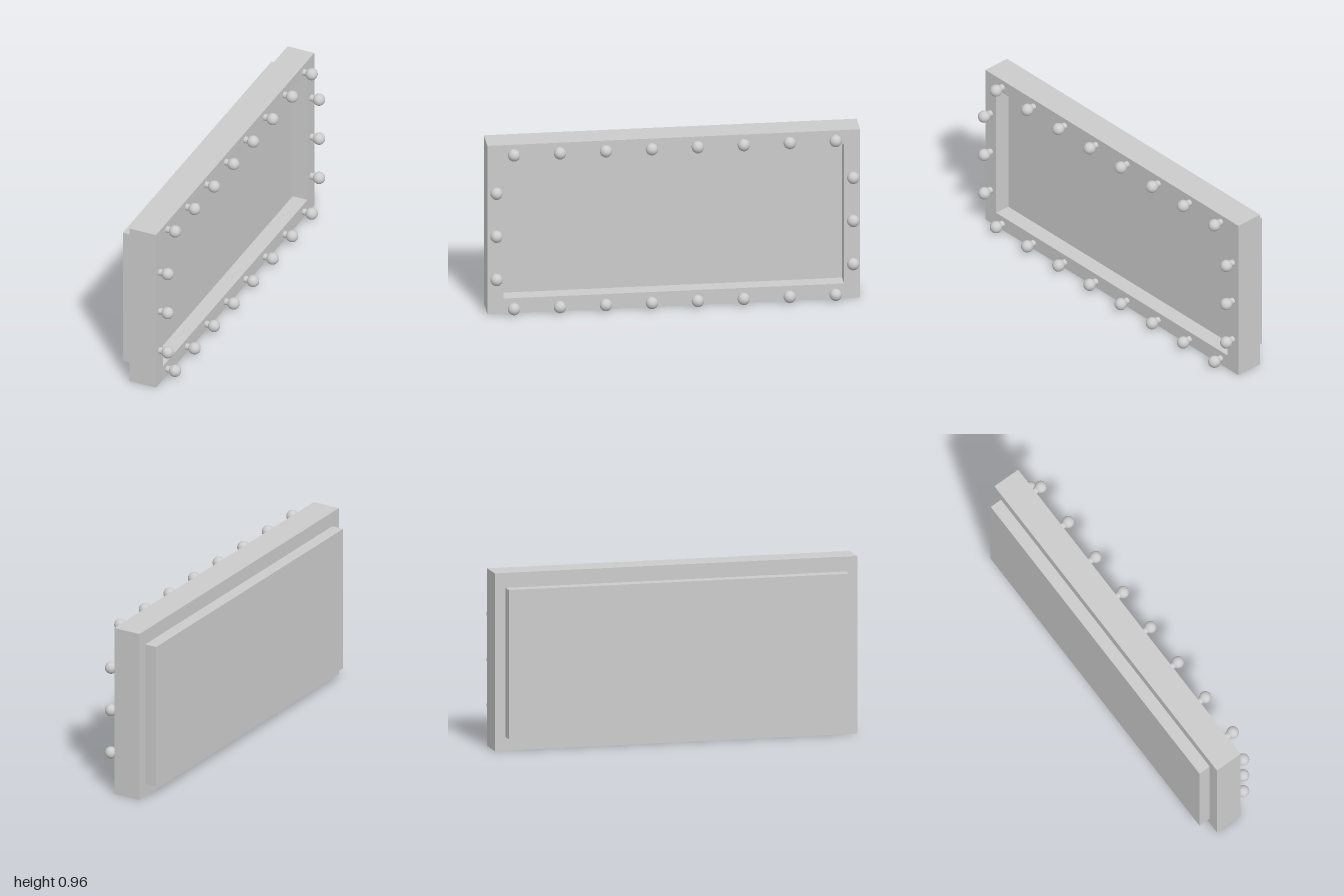
import * as THREE from 'three';

export function createModel() {
  const model = new THREE.Group();
  const material = new THREE.MeshStandardMaterial({ color: 0xcccccc });

  // Box given by its limits on each axis
  function addBox(name, [x0, x1], [y0, y1], [z0, z1]) {
    const mesh = new THREE.Mesh(new THREE.BoxGeometry(x1 - x0, y1 - y0, z1 - z0), material);
    mesh.position.set((x0 + x1) / 2, (y0 + y1) / 2, (z0 + z1) / 2);
    mesh.name = name;
    model.add(mesh);
  }

  // Rectangular frame around a deep recess
  const depth = [-0.087, 0.07];
  const low = 0.085, high = 0.881, inner = 0.914;
  addBox('frameBottom', depth, [0, low], [-1, 1]);
  addBox('frameTop', depth, [high, 0.962], [-1, 1]);
  addBox('frameLeftEnd', depth, [low, high], [inner, 1]);
  addBox('frameRightEnd', depth, [low, high], [-1, -inner]);

  // Panel closing the recess and standing proud of the frame's back
  addBox('backPanel', [-0.155, -0.017], [0.073, 0.881], [-0.941, 0.936]);

  // Round bulbs on short stems
  const bulbGeometry = new THREE.SphereGeometry(0.033, 32, 20);
  const stemGeometry = new THREE.CylinderGeometry(0.018, 0.018, 0.045, 24);
  stemGeometry.rotateZ(-Math.PI / 2);

  function addBulb(y, z) {
    const group = new THREE.Group();
    group.name = 'bulb';
    const bulb = new THREE.Mesh(bulbGeometry, material);
    bulb.name = 'bulbGlobe';
    bulb.position.x = 0.118;
    const stem = new THREE.Mesh(stemGeometry, material);
    stem.name = 'bulbStem';
    stem.position.x = 0.0775;
    group.add(bulb, stem);
    group.position.set(0, y, z);
    model.add(group);
  }

  // Eight along the top and bottom, three up each end
  for (let i = 0; i < 8; i++) {
    const z = -0.863 + i * 0.2466;
    addBulb(0.041, z);
    addBulb(0.92, z);
  }
  for (const y of [0.212, 0.459, 0.705]) {
    addBulb(y, 0.957);
    addBulb(y, -0.957);
  }

  return model;
}
